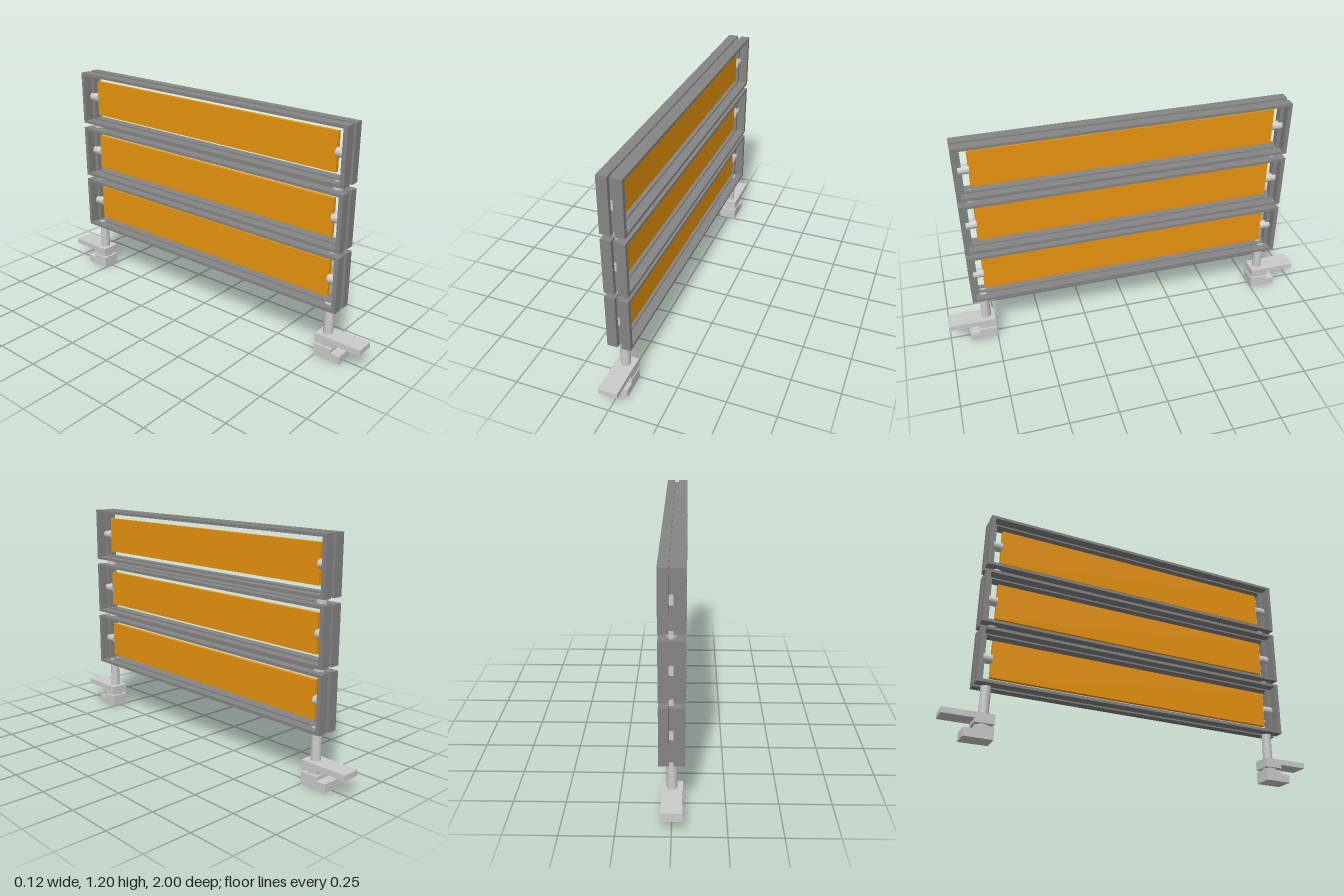
import * as THREE from 'three';

const grey = new THREE.MeshStandardMaterial({ color: 0xcccccc });
const darkGrey = new THREE.MeshStandardMaterial({ color: 0x858585 });
const orange = new THREE.MeshStandardMaterial({ color: 0xe8940e });

function add(parent, name, geometry, material, x = 0, y = 0, z = 0) {
  const mesh = new THREE.Mesh(geometry, material);
  mesh.name = name;
  mesh.position.set(x, y, z);
  parent.add(mesh);
  return mesh;
}

// Box given by its limits on each axis
function block(parent, name, material, [x0, x1], [y0, y1], [z0, z1]) {
  const geometry = new THREE.BoxGeometry(x1 - x0, y1 - y0, z1 - z0);
  return add(parent, name, geometry, material, (x0 + x1) / 2, (y0 + y1) / 2, (z0 + z1) / 2);
}

function rectangle(path, halfZ, halfY) {
  path.moveTo(-halfZ, -halfY);
  path.lineTo(halfZ, -halfY);
  path.lineTo(halfZ, halfY);
  path.lineTo(-halfZ, halfY);
  path.closePath();
  return path;
}

// Rectangular ring in the zy plane, extruded from x0 to x1
function ring(parent, name, [halfZ, halfY], [holeZ, holeY], x0, x1) {
  const shape = rectangle(new THREE.Shape(), halfZ, halfY);
  shape.holes.push(rectangle(new THREE.Path(), holeZ, holeY));
  const geometry = new THREE.ExtrudeGeometry(shape, { depth: x1 - x0, bevelEnabled: false });
  geometry.rotateY(Math.PI / 2);
  return add(parent, name, geometry, darkGrey, x0, 0, 0);
}

// One framed panel: two outer frames, an inset web between them, board and pins
function createPanel(y) {
  const panel = new THREE.Group();
  panel.name = 'framedPanel';
  panel.position.y = y;
  ring(panel, 'rightFrame', [0.857, 0.145], [0.835, 0.13], -0.06, -0.008);
  ring(panel, 'leftFrame', [0.857, 0.145], [0.835, 0.13], 0.013, 0.06);
  ring(panel, 'frameWeb', [0.836, 0.137], [0.815, 0.122], -0.0085, 0.0135);
  block(panel, 'board', orange, [-0.01, 0.01], [-0.097, 0.097], [-0.783, 0.783]);
  for (const side of [-1, 1]) {
    const pin = new THREE.CylinderGeometry(0.024, 0.024, 0.058, 24).rotateX(Math.PI / 2);
    add(panel, 'pivotPin', pin, grey, 0, 0, side * 0.808);
  }
  return panel;
}

// Table clamp with jaws reaching towards +z
function createClamp() {
  const clamp = new THREE.Group();
  clamp.name = 'clamp';
  const width = [-0.049, 0.049];
  block(clamp, 'upperJawBlock', grey, width, [0.074, 0.123], [0.75, 0.845]);
  block(clamp, 'upperJawPlate', grey, width, [0.094, 0.123], [0.845, 1]);
  add(clamp, 'clampNeck', new THREE.CylinderGeometry(0.038, 0.038, 0.02, 32), grey, 0, 0.068, 0.797);
  block(clamp, 'lowerJawBlock', grey, width, [0, 0.063], [0.75, 0.842]);
  block(clamp, 'lowerJawLip', grey, width, [0, 0.043], [0.842, 0.893]);
  return clamp;
}

export function createModel() {
  const model = new THREE.Group();
  model.name = 'deskDivider';
  for (const y of [0.416, 0.731, 1.05]) model.add(createPanel(y));

  // Post sections: legs below, short spacers between the panels
  const sections = [['leg', 0.12, 0.29], ['spacer', 0.55, 0.60], ['spacer', 0.865, 0.92]];
  for (const side of [-1, 1]) {
    for (const [name, y0, y1] of sections) {
      const post = new THREE.CylinderGeometry(0.025, 0.025, y1 - y0, 32);
      add(model, name, post, grey, 0, (y0 + y1) / 2, side * 0.795);
    }
    const clamp = createClamp();
    if (side < 0) clamp.rotation.y = Math.PI;
    model.add(clamp);
  }
  return model;
}
